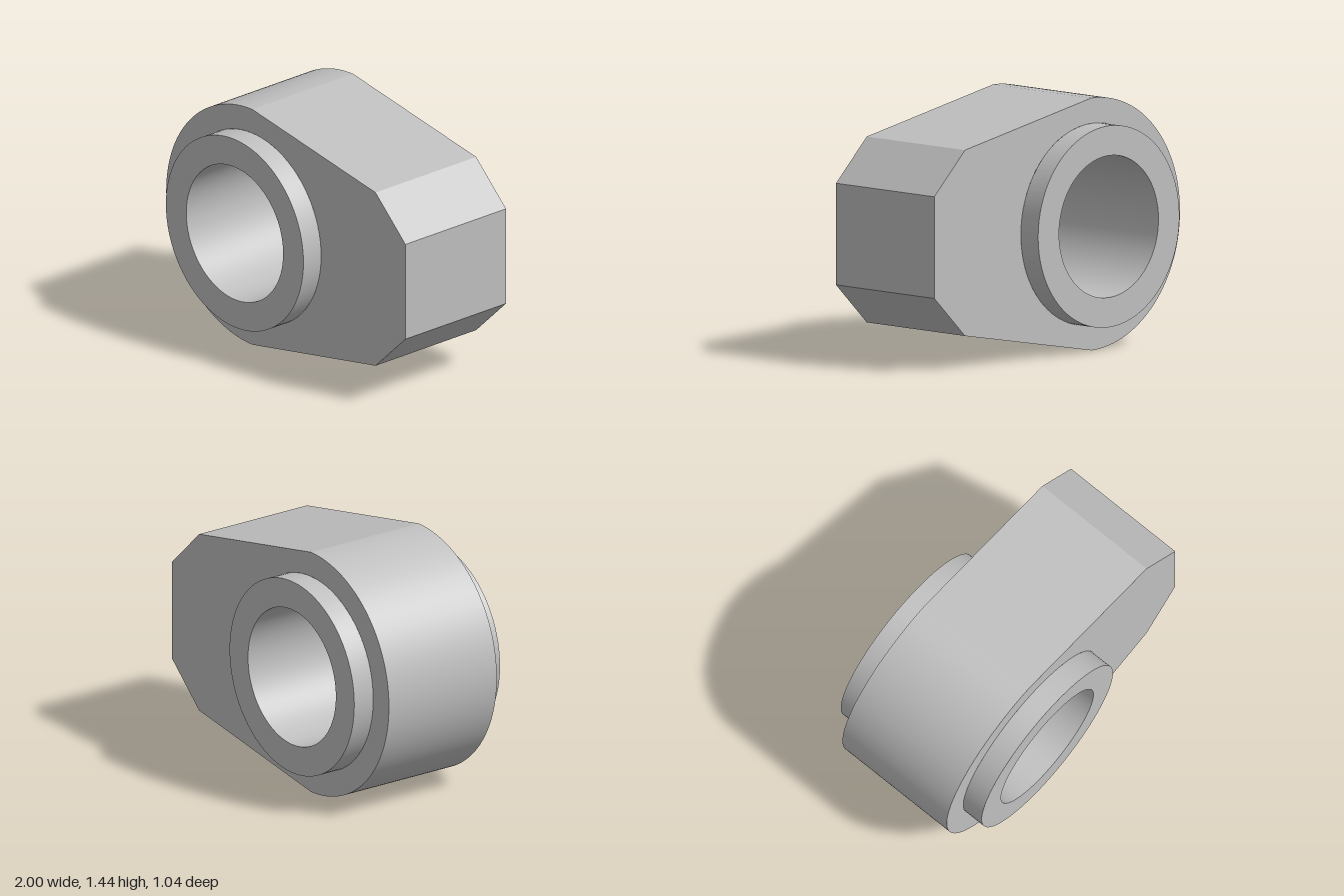
import * as THREE from 'three';
import { toCreasedNormals } from 'three/addons/utils/BufferGeometryUtils.js';

const CX = -0.28, CY = 0.72;              // bore axis
const BODY_R = 0.72, COLLAR_R = 0.575, BORE_R = 0.405;
const BODY_Z = 0.385, COLLAR_Z = 0.52;    // half depths

export function createModel() {
  const model = new THREE.Group();
  model.name = 'bearingBlock';
  const grey = new THREE.MeshStandardMaterial({ color: 0xc0c0c0 });
  grey.name = 'metalGrey';

  // Body: round end, tapering to a chamfered nose, with an opening for the sleeve
  const outline = new THREE.Shape();
  outline.absarc(CX, CY, BODY_R, Math.PI / 2, Math.PI * 1.5, false);
  for (const [x, dy] of [[0.75, -0.53], [1, -0.29], [1, 0.29], [0.75, 0.53]]) {
    outline.lineTo(x, CY + dy);
  }
  outline.closePath();
  const opening = new THREE.Path();
  opening.absarc(CX, CY, COLLAR_R, 0, Math.PI * 2, true);
  outline.holes.push(opening);
  const bodyGeometry = new THREE.ExtrudeGeometry(outline, {
    depth: BODY_Z * 2, bevelEnabled: false, curveSegments: 80,
  });
  bodyGeometry.translate(0, 0, -BODY_Z);
  const body = new THREE.Mesh(toCreasedNormals(bodyGeometry, 0.12), grey);
  body.name = 'body';
  model.add(body);

  // Sleeve: both raised collars and the through bore in one turned profile
  const profile = [
    [COLLAR_R, BODY_Z], [COLLAR_R, COLLAR_Z], [BORE_R, COLLAR_Z],
    [BORE_R, -COLLAR_Z], [COLLAR_R, -COLLAR_Z], [COLLAR_R, -BODY_Z],
  ].map(([r, z]) => new THREE.Vector2(r, z));
  const sleeveGeometry = new THREE.LatheGeometry(profile, 80);
  sleeveGeometry.rotateX(Math.PI / 2);
  const sleeve = new THREE.Mesh(toCreasedNormals(sleeveGeometry, 0.5), grey);
  sleeve.name = 'sleeve';
  sleeve.position.set(CX, CY, 0);
  model.add(sleeve);

  return model;
}
